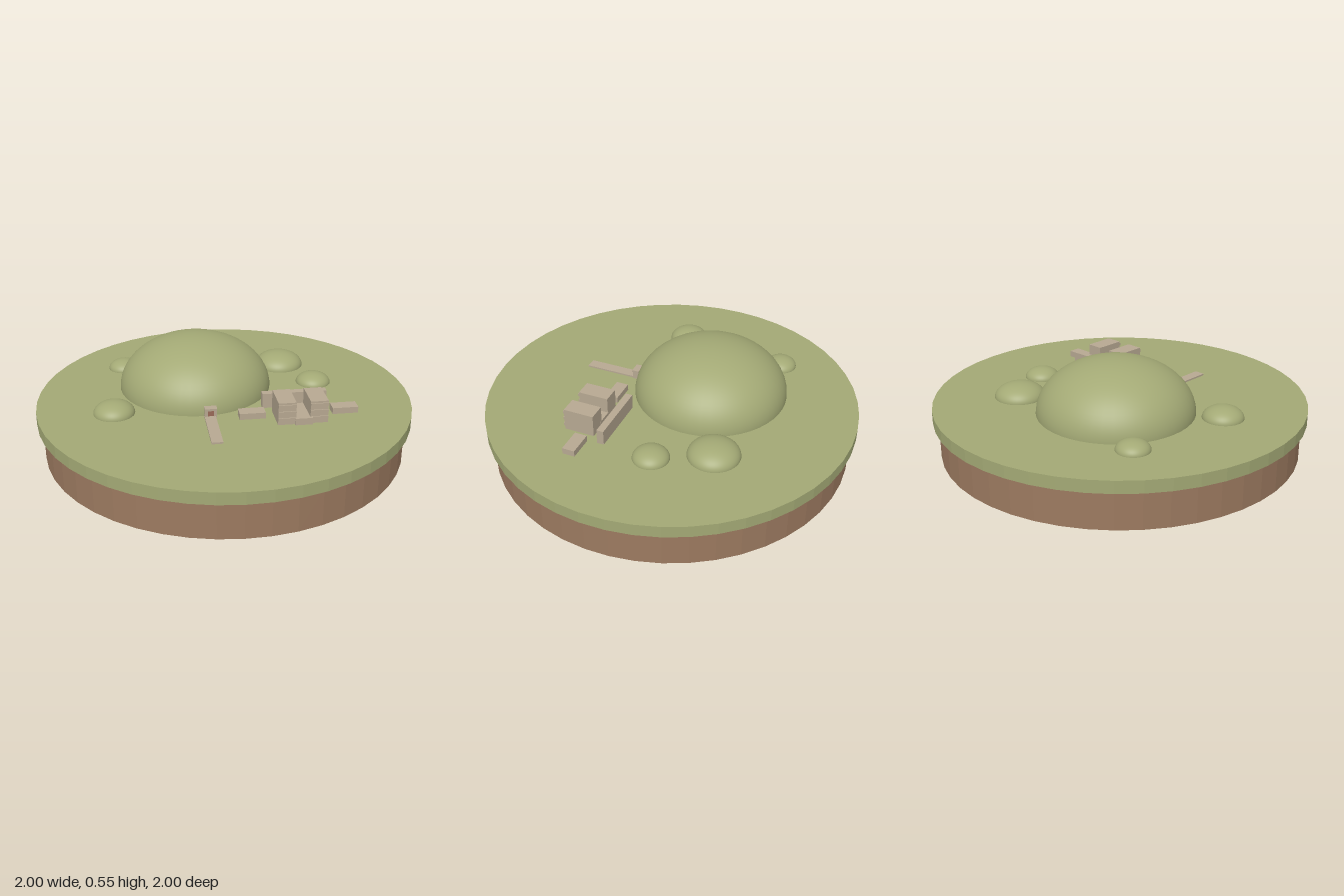
import * as THREE from 'three';

const mat = (name, color, flatShading = false) => {
  const m = new THREE.MeshStandardMaterial({ color, flatShading });
  m.name = name;
  return m;
};

export function createModel() {
  const grass = mat('grass', 0xa3a975);
  const earth = mat('earth', 0x9c7a60);
  const stone = mat('stone', 0xb7a892);
  const door = mat('door', 0x9a6a58);
  const GROUND = 0.265;
  const TURN = -0.35; // all stonework is turned the same way

  const model = new THREE.Group();
  model.name = 'moundIsland';

  const add = (parent, name, geometry, material, x, y, z) => {
    const mesh = new THREE.Mesh(geometry, material);
    mesh.name = name;
    mesh.position.set(x, y, z);
    parent.add(mesh);
    return mesh;
  };

  // Faceted round base: earth below, wider turf on top
  const disc = (r, h) => new THREE.CylinderGeometry(r, r, h, 48).toNonIndexed();
  const flat = (g) => { g.computeVertexNormals(); return g; };
  add(model, 'earthBase', flat(disc(0.97, 0.2)), earth, 0, 0.1, 0);
  add(model, 'turf', flat(disc(1, 0.065)), grass, 0, 0.2325, 0);

  // Smooth domed mounds: x, z, radius, height
  const mounds = [
    ['greatMound', -0.07, -0.21, 0.414, 0.285],
    ['westMound', -0.605, -0.075, 0.108, 0.065],
    ['eastMound', 0.487, -0.232, 0.136, 0.077],
    ['southEastMound', 0.522, 0.078, 0.095, 0.056],
    ['northMound', -0.335, -0.605, 0.087, 0.052],
  ];
  for (const [name, x, z, r, h] of mounds) {
    const dome = new THREE.SphereGeometry(1, 48, 20, 0, Math.PI * 2, 0, Math.PI / 2);
    dome.scale(r, h, r);
    add(model, name, dome, grass, x, GROUND, z);
  }

  // A turned group standing on the turf
  const site = (name, x, z) => {
    const g = new THREE.Group();
    g.name = name;
    g.position.set(x, GROUND, z);
    g.rotation.y = TURN;
    model.add(g);
    return g;
  };
  const block = (parent, name, w, h, d, x = 0, y = 0, z = 0, material = stone) =>
    add(parent, name, new THREE.BoxGeometry(w, h, d), material, x, y + h / 2, z);

  // Two tall towers with shallow ledges across the front
  for (const [name, x, z] of [['leftTower', 0.142, 0.385], ['rightTower', 0.297, 0.441]]) {
    const tower = site(name, x, z);
    block(tower, 'towerBody', 0.092, 0.12, 0.164);
    for (let i = 0; i < 3; i++) {
      block(tower, 'ledge', 0.092, 0.016, 0.006, 0, 0.022 + i * 0.036, 0.085);
    }
  }

  // Low court between the towers, rear wall and side blocks
  block(site('court', 0.22, 0.42), 'courtSlab', 0.09, 0.036, 0.18);
  block(site('rearWall', 0.267, 0.28), 'wall', 0.342, 0.08, 0.038);
  block(site('westBlock', 0.003, 0.297), 'lowBlock', 0.135, 0.033, 0.067);
  block(site('eastBlock', 0.46, 0.463), 'lowBlock', 0.135, 0.033, 0.067);

  // Doorway set in the foot of the great mound
  const gate = site('gate', -0.185, 0.2);
  for (const s of [-1, 1]) block(gate, 'doorPost', 0.015, 0.042, 0.034, s * 0.023);
  block(gate, 'lintel', 0.064, 0.012, 0.04, 0, 0.04);
  block(gate, 'doorPanel', 0.032, 0.04, 0.009, 0, 0, 0.009, door);

  // Paved approach path
  block(site('approach', -0.238, 0.335), 'path', 0.058, 0.009, 0.305);

  return model;
}
